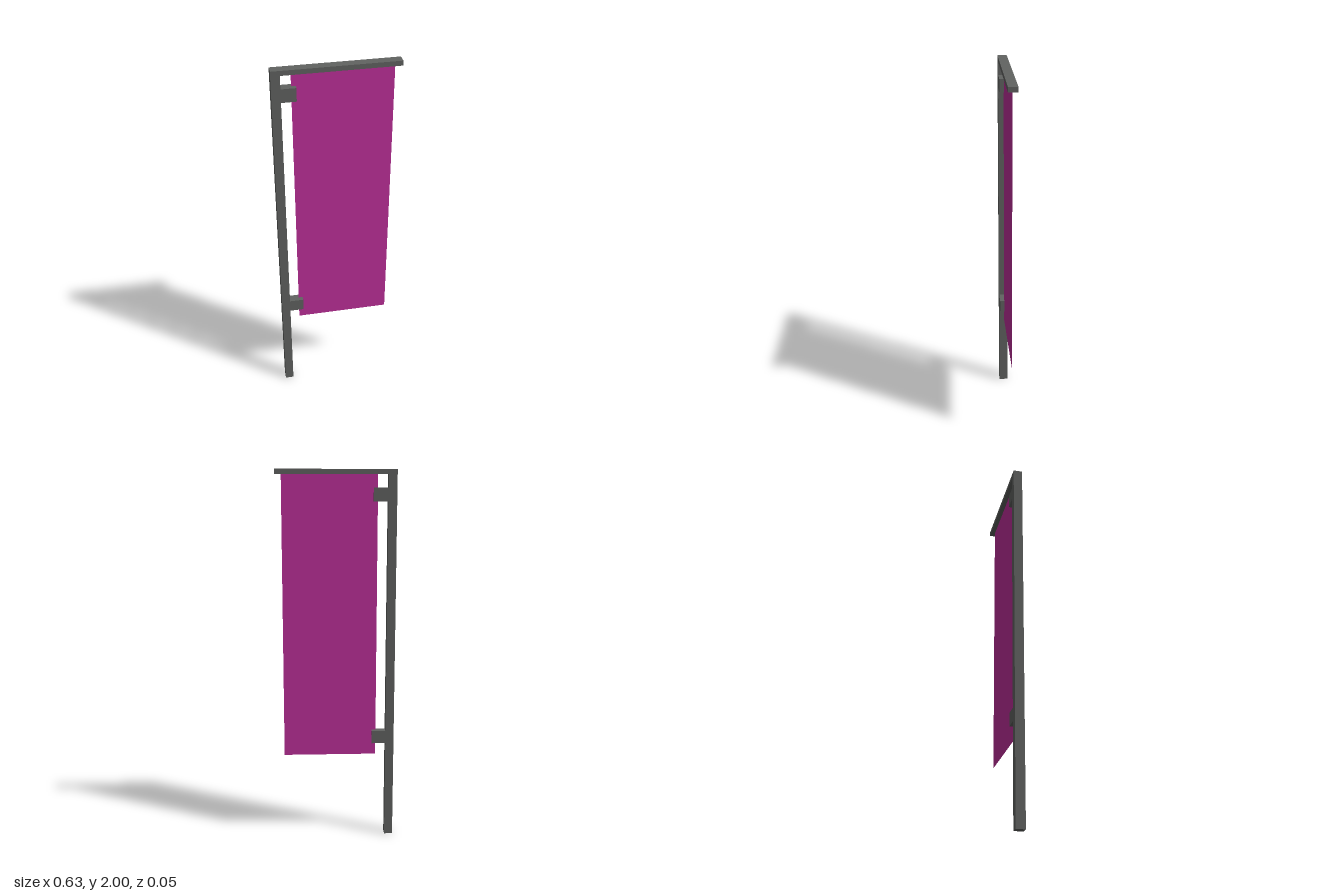
import * as THREE from 'three';

const DEPTH = 0.048;

export function createModel() {
  const group = new THREE.Group();
  const metal = new THREE.MeshStandardMaterial({ color: 0x626462, flatShading: true });
  const cloth = new THREE.MeshStandardMaterial({ color: 0xc0309c, side: THREE.DoubleSide });

  // Square bar given by its left, right, bottom and top limits
  function bar(name, x0, x1, y0, y1) {
    const mesh = new THREE.Mesh(new THREE.BoxGeometry(x1 - x0, y1 - y0, DEPTH), metal);
    mesh.position.set((x0 + x1) / 2, (y0 + y1) / 2, 0);
    mesh.name = name;
    group.add(mesh);
  }

  // Upright pole and the arm across its top
  bar('pole', -0.315, -0.27, 0, 1.975);
  bar('topArm', -0.315, 0.315, 1.975, 2);

  // Brackets gripping the edge of the banner
  bar('lowerBracket', -0.27, -0.195, 0.533, 0.603);
  bar('upperBracket', -0.27, -0.195, 1.837, 1.907);

  // Hanging cloth
  const banner = new THREE.Mesh(new THREE.PlaneGeometry(0.5, 1.51), cloth);
  banner.position.set(0.033, 1.22, 0);
  banner.name = 'banner';
  group.add(banner);

  return group;
}
